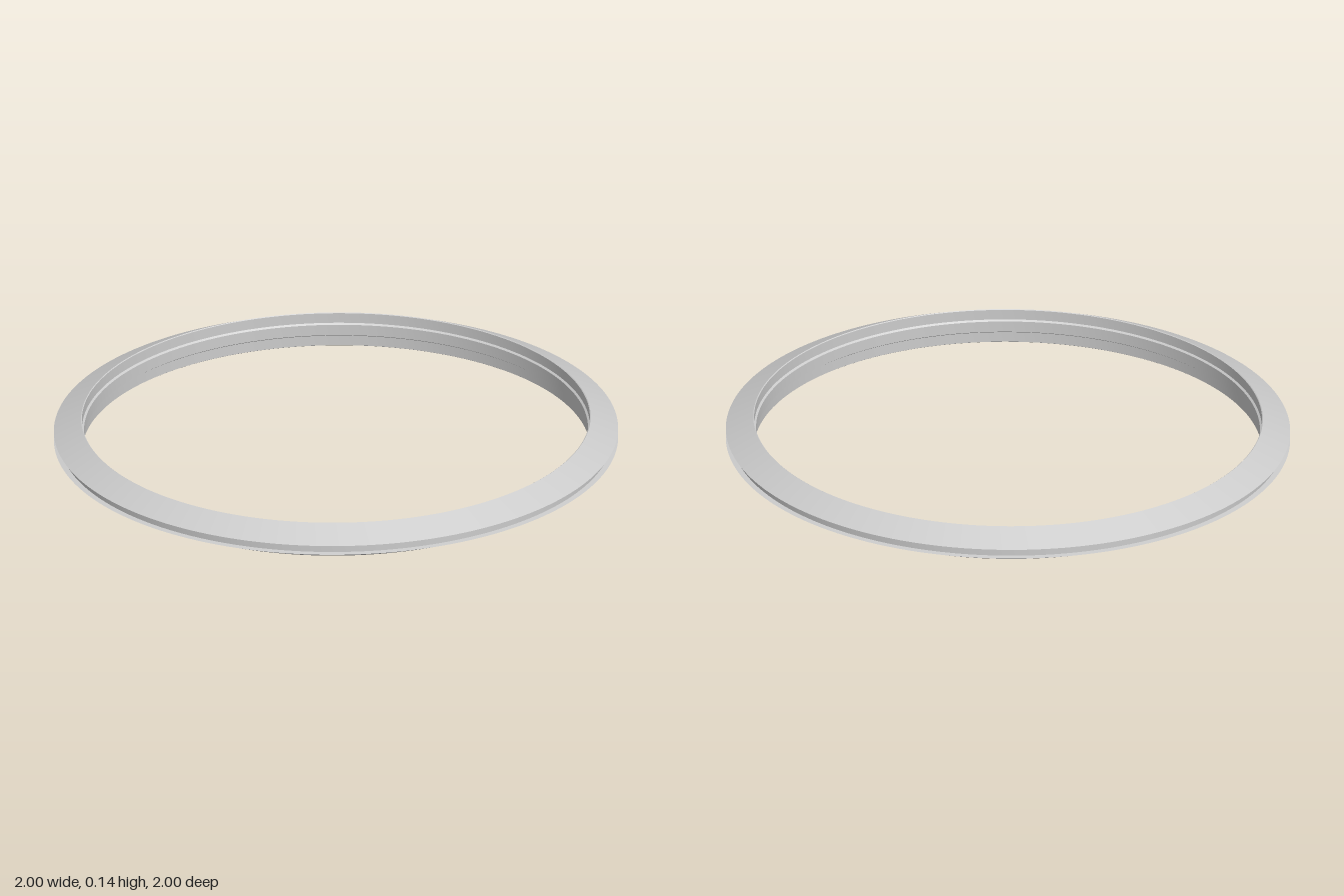
import * as THREE from 'three';
import { toCreasedNormals } from 'three/addons/utils/BufferGeometryUtils.js';

export function createModel() {
  const group = new THREE.Group();
  group.name = 'ring';

  // Upper half of the cross-section (radius, height): outer groove, bevel, inner wall, inner ridge
  const upper = [
    [0.98, 0.015],
    [1.0, 0.017],
    [0.903, 0.064],
    [0.9, 0.062],
    [0.9, 0.025],
    [0.893, 0.02],
  ];
  const mirrored = upper.map(([r, y]) => [r, -y]).reverse();
  const section = [...upper, ...mirrored, upper[0]].map(([r, y]) => new THREE.Vector2(r, y));

  const geometry = toCreasedNormals(new THREE.LatheGeometry(section, 192), 0.4);
  const rim = new THREE.Mesh(geometry, new THREE.MeshStandardMaterial({ color: 0xcccccc }));
  rim.name = 'groovedRim';

  // The ring rests with a slight tilt
  rim.rotation.z = 0.006;
  rim.position.y = 0.0695;
  group.add(rim);
  return group;
}
